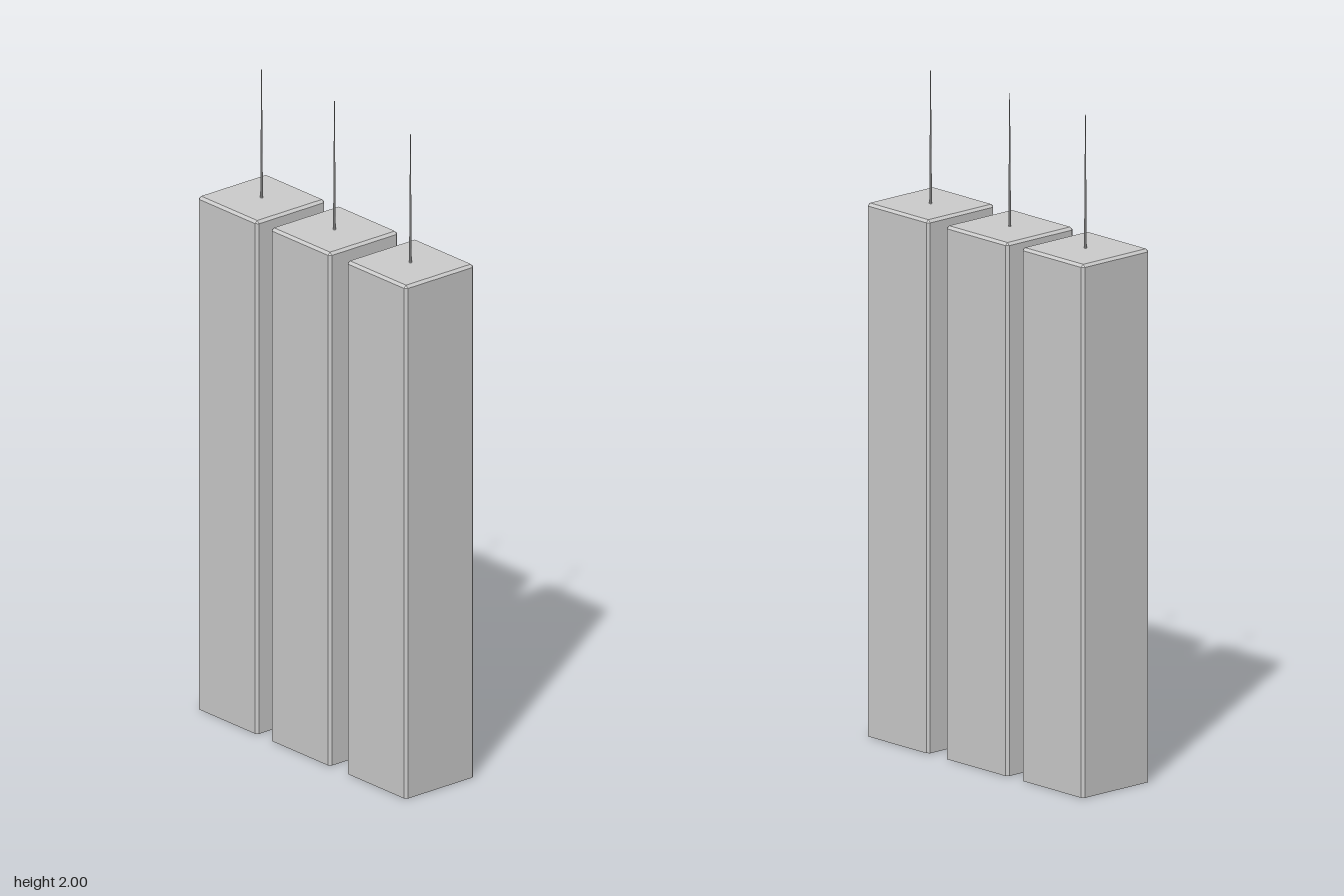
import * as THREE from 'three';
import { ConvexGeometry } from 'three/addons/geometries/ConvexGeometry.js';

const HALF = 0.132;    // half width of a tower
const CHAMFER = 0.008; // cut along upright and roof edges
const ROOF = 1.6;
const TIP = 2;

// Square shaft with chamfered upright edges and a chamfered roof rim
function towerGeometry() {
  const inner = HALF - CHAMFER;
  const points = [];
  for (const sx of [-1, 1]) {
    for (const sz of [-1, 1]) {
      for (const y of [0, ROOF - CHAMFER]) {
        points.push(new THREE.Vector3(sx * HALF, y, sz * inner));
        points.push(new THREE.Vector3(sx * inner, y, sz * HALF));
      }
      points.push(new THREE.Vector3(sx * inner, ROOF, sz * inner));
    }
  }
  return new ConvexGeometry(points);
}

export function createModel() {
  const model = new THREE.Group();
  model.name = 'towers';
  const material = new THREE.MeshStandardMaterial({ color: 0xcccccc, flatShading: true });

  const shaftGeometry = towerGeometry();
  // Thin tapering roof mast
  const mastGeometry = new THREE.CylinderGeometry(0.001, 0.004, TIP - ROOF, 8);

  const rows = { frontTower: 0.329, middleTower: -0.007, backTower: -0.329 };
  for (const [name, z] of Object.entries(rows)) {
    const tower = new THREE.Group();
    tower.name = name;
    tower.position.z = z;

    const shaft = new THREE.Mesh(shaftGeometry, material);
    shaft.name = 'shaft';

    const mast = new THREE.Mesh(mastGeometry, material);
    mast.name = 'mast';
    mast.position.y = (ROOF + TIP) / 2;

    tower.add(shaft, mast);
    model.add(tower);
  }
  return model;
}
